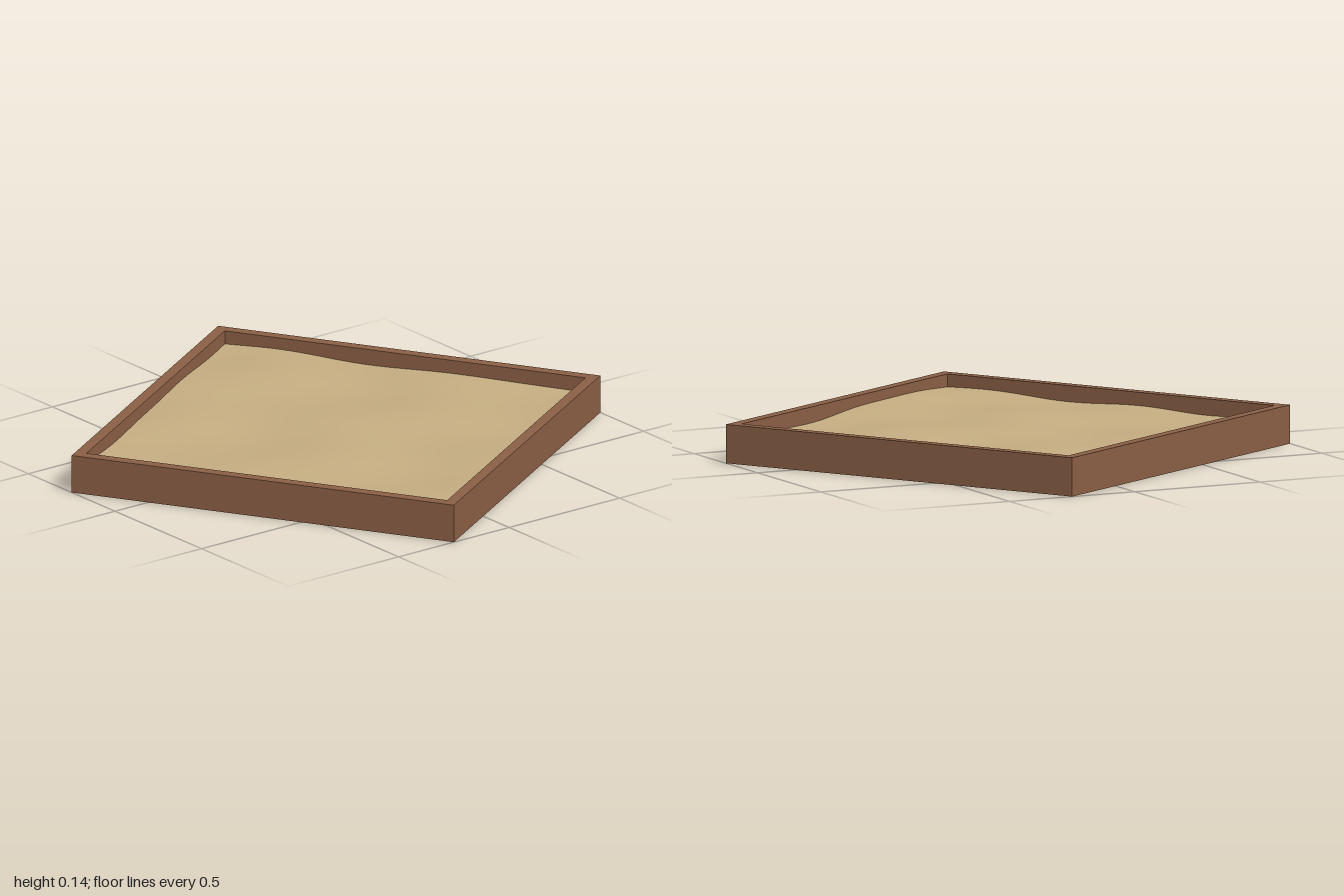
import * as THREE from 'three';

const SIDE = 1.458, WALL = 0.041, HEIGHT = 0.14, FLOOR = 0.02;
const INNER = SIDE - 2 * WALL;

// gentle wind ripples, longer along x than along z
function sandHeight(x, z) {
  return 0.092
    + 0.006 * Math.sin(4.2 * x + 2.5 * z + 1.4)
    + 0.005 * Math.sin(9 * z - 2.6 * x + 0.6)
    + 0.003 * Math.sin(7.5 * x + 11 * z + 2.1)
    + 0.002 * Math.sin(13 * x - 6 * z);
}

function square(path, size) {
  const h = size / 2;
  path.moveTo(-h, -h);
  path.lineTo(h, -h);
  path.lineTo(h, h);
  path.lineTo(-h, h);
  path.closePath();
  return path;
}

export function createModel() {
  const wood = new THREE.MeshStandardMaterial({ color: 0x8b6045 });
  wood.name = 'brown wood';
  const sand = new THREE.MeshStandardMaterial({ color: 0xc6ae82 });
  sand.name = 'sand';

  const model = new THREE.Group();
  model.name = 'sandbox';
  function add(name, geometry, material, y) {
    const mesh = new THREE.Mesh(geometry, material);
    mesh.name = name;
    mesh.position.y = y;
    model.add(mesh);
  }

  // square frame of four walls
  const outline = square(new THREE.Shape(), SIDE);
  outline.holes.push(square(new THREE.Path(), INNER));
  const frame = new THREE.ExtrudeGeometry(outline, { depth: HEIGHT, bevelEnabled: false });
  frame.rotateX(-Math.PI / 2);
  add('frame', frame, wood, 0);

  // floor board
  add('floor', new THREE.BoxGeometry(INNER, FLOOR, INNER), wood, FLOOR / 2);

  // rippled sand filling the frame
  const surface = new THREE.PlaneGeometry(INNER, INNER, 48, 48);
  surface.rotateX(-Math.PI / 2);
  const p = surface.attributes.position;
  for (let i = 0; i < p.count; i++) p.setY(i, sandHeight(p.getX(i), p.getZ(i)));
  surface.computeVertexNormals();
  add('sand', surface, sand, 0);

  // the box stands turned on the ground
  model.rotation.y = Math.atan2(0.75, 1.25);
  const root = new THREE.Group();
  root.name = 'model';
  root.add(model);
  return root;
}
